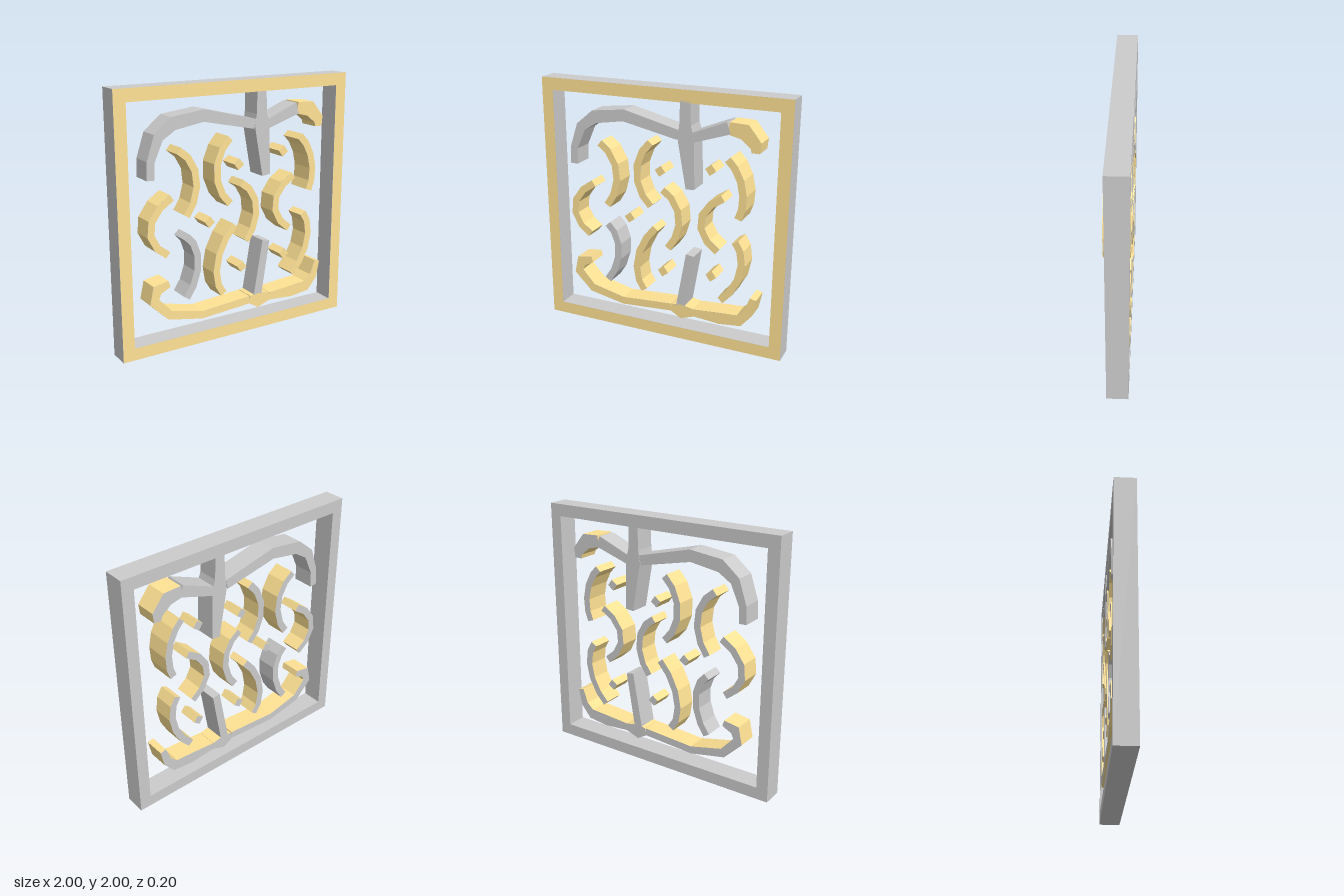
import * as THREE from 'three';

const BACK = -0.098, FRONT = 0.068;
const grey = new THREE.MeshStandardMaterial({ color: 0xcccccc, flatShading: true });
const gold = new THREE.MeshStandardMaterial({ color: 0xffe294, flatShading: true });

// A flat bar cut from a shape: grey back, its own side colour, thin front face
function bar(name, shape, face = gold, side = face, front = FRONT) {
  const group = new THREE.Group();
  group.name = name;
  const body = new THREE.Mesh(
    new THREE.ExtrudeGeometry(shape, { depth: front - BACK, bevelEnabled: false }),
    [grey, side]
  );
  body.name = name + 'Body';
  body.position.z = BACK;
  const plate = new THREE.Mesh(new THREE.ShapeGeometry(shape), face);
  plate.name = name + 'Face';
  plate.position.z = front + 0.002;
  group.add(body, plate);
  return group;
}

// Outline of a strip that follows a centre line of [x, y, width] stations
function strip(line) {
  const left = [], right = [];
  line.forEach(([x, y, w], i) => {
    const a = line[Math.max(i - 1, 0)], b = line[Math.min(i + 1, line.length - 1)];
    const n = new THREE.Vector2(a[1] - b[1], b[0] - a[0]).setLength(w / 2);
    left.push(new THREE.Vector2(x + n.x, y + n.y));
    right.unshift(new THREE.Vector2(x - n.x, y - n.y));
  });
  return new THREE.Shape([...left, ...right]);
}

// Faceted crescent from its top, middle and bottom points
function crescent(top, middle, bottom) {
  return strip([-1, -0.7, -0.25, 0.25, 0.7, 1].map((s) => {
    const bulge = 1 - Math.abs(s) ** 2.4;
    const [x, y] = [0, 1].map((k) => {
      const centre = (top[k] + bottom[k]) / 2;
      return centre + s * (bottom[k] - top[k]) / 2 + bulge * (middle[k] - centre);
    });
    return [x, y, 0.056];
  }));
}

// Square peg turned on its corner
function diamond(x, y, radius, turn) {
  return new THREE.Shape([0, 1, 2, 3].map((k) => {
    const a = turn + k * Math.PI / 2;
    return new THREE.Vector2(x + radius * Math.cos(a), y + radius * Math.sin(a));
  }));
}

// Loose curls, from the top row down
const curls = [
  [[-.51, 1.53], [-.37, 1.31], [-.455, 1.035]],
  [[-.08, 1.58], [-.195, 1.33], [-.08, 1.08]],
  [[-.575, 1.195], [-.75, .98], [-.615, .765]],
  [[.02, 1.225], [.155, 1.02], [.065, .76]],
  [[.505, 1.225], [.335, 1.02], [.47, .80]],
  [[-.455, .875], [-.365, .66], [-.465, .395]],
  [[-.04, .905], [-.195, .62], [-.14, .365]],
  [[.61, .90], [.655, .66], [.505, .405]],
];

const pegs = [[0, 1.37], [.405, 1.43], [-.26, .96], [.025, .555], [.425, .59]];

export function createModel() {
  const model = new THREE.Group();
  model.name = 'openworkPanel';

  // Square border with one large opening
  const square = (x, y) => [[-x, -y], [x, -y], [x, y], [-x, y]].map(([u, v]) => new THREE.Vector2(u, v + 1));
  const border = new THREE.Shape(square(1, 1));
  border.holes.push(new THREE.Path(square(.907, .905)));
  model.add(bar('frame', border, gold, grey));

  // Upper branches and the stem that hangs from the border
  const branch = (name, face, line) => model.add(bar(name, strip(line), face));
  branch('upperRightBranch', grey, [[-.74, 1.34, .06], [-.735, 1.47, .06], [-.67, 1.64, .08],
    [-.55, 1.73, .10], [-.30, 1.765, .09], [.14, 1.665, .075]]);
  branch('upperStem', grey, [[.20, 1.92, .08], [.20, 1.74, .09], [.205, 1.65, .13], [.245, 1.26, .07]]);
  branch('upperLeftBranch', grey, [[.26, 1.655, .07], [.535, 1.755, .09]]);
  branch('upperLeftTip', gold, [[.535, 1.755, .09], [.655, 1.74, .12], [.74, 1.65, .09], [.74, 1.595, .06]]);

  // Lower branches, their junction and the rising stem
  branch('lowerRightBranch', gold, [[-.61, .54, .05], [-.71, .51, .09], [-.735, .42, .08],
    [-.61, .29, .07], [-.33, .23, .06], [.10, .26, .06]]);
  branch('lowerJunction', gold, [[.10, .26, .06], [.18, .24, .12], [.29, .25, .06]]);
  branch('lowerStem', grey, [[.175, .29, .07], [.25, .73, .065]]);
  branch('lowerLeftBranch', gold, [[.29, .25, .06], [.50, .25, .095], [.66, .265, .09],
    [.73, .34, .07], [.765, .465, .05]]);

  // Curls; one stands proud of the rest and one has a grey face
  curls.forEach((points, i) => model.add(bar('curl' + (i + 1), crescent(...points), i === 5 ? grey : gold)));
  model.add(bar('proudCurl', crescent([.545, 1.535], [.66, 1.33], [.635, 1.095]), gold, gold, 0.098));

  // Small pegs between the curls
  pegs.forEach(([x, y], i) => model.add(bar('peg' + (i + 1), diamond(x, y, .043, -.15))));

  return model;
}
